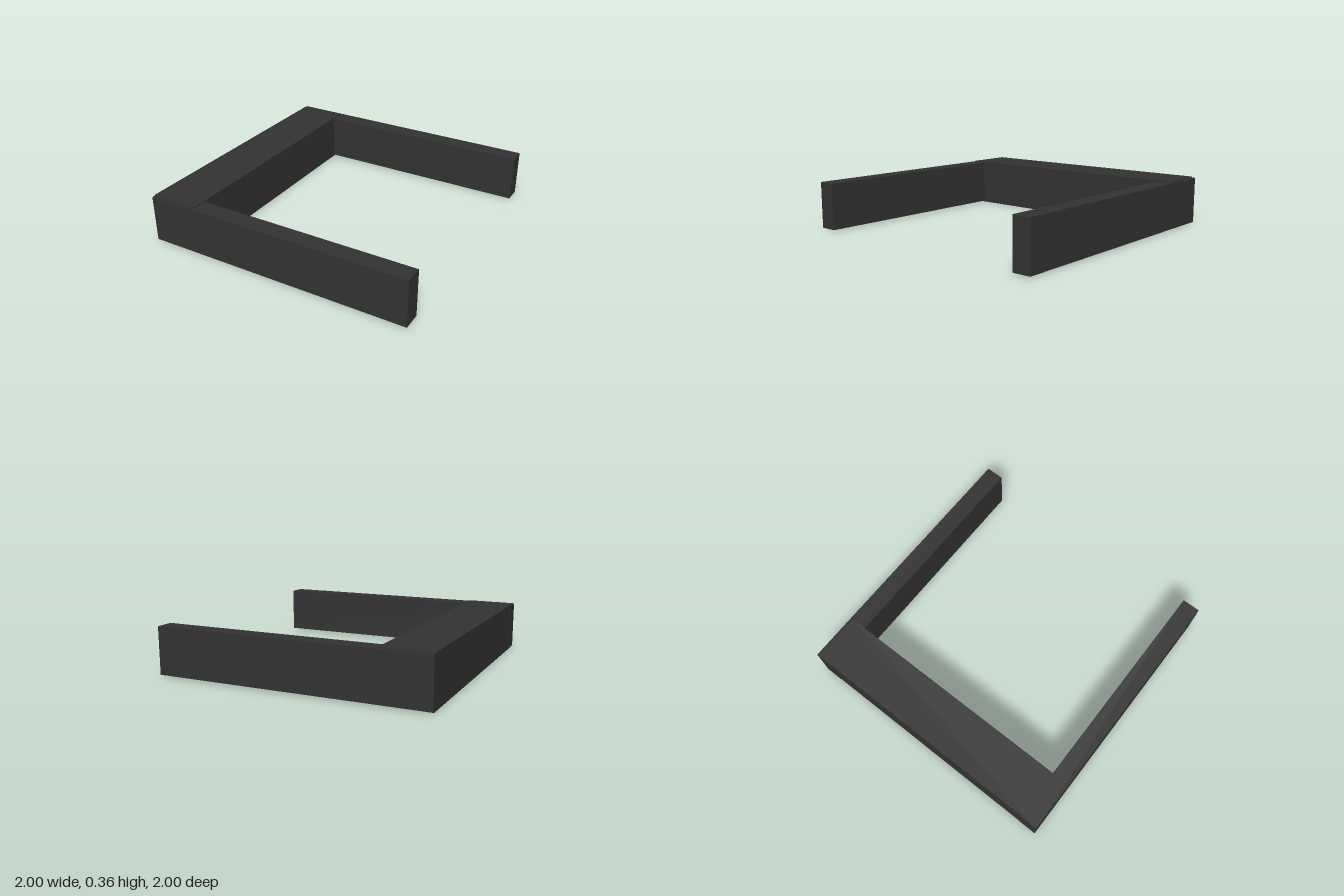
import * as THREE from 'three';

export function createModel() {
  const group = new THREE.Group();
  group.name = 'bracketFrame';
  const charcoal = new THREE.MeshStandardMaterial({ color: 0x333333 });
  charcoal.name = 'charcoal';

  // Box from its minimum and maximum corners
  function beam(name, min, max) {
    const size = max.map((v, i) => v - min[i]);
    const mesh = new THREE.Mesh(new THREE.BoxGeometry(...size), charcoal);
    mesh.position.set(...max.map((v, i) => (v + min[i]) / 2));
    mesh.name = name;
    group.add(mesh);
  }

  // Crossbar, slightly taller than the arms it joins
  beam('crossbar', [-0.997, 0, -0.977], [-0.635, 0.362, 0.977]);

  // Two parallel arms
  beam('frontArm', [-1, 0.008, 0.866], [1, 0.354, 1]);
  beam('backArm', [-1, 0.008, -1], [1, 0.354, -0.866]);

  return group;
}
